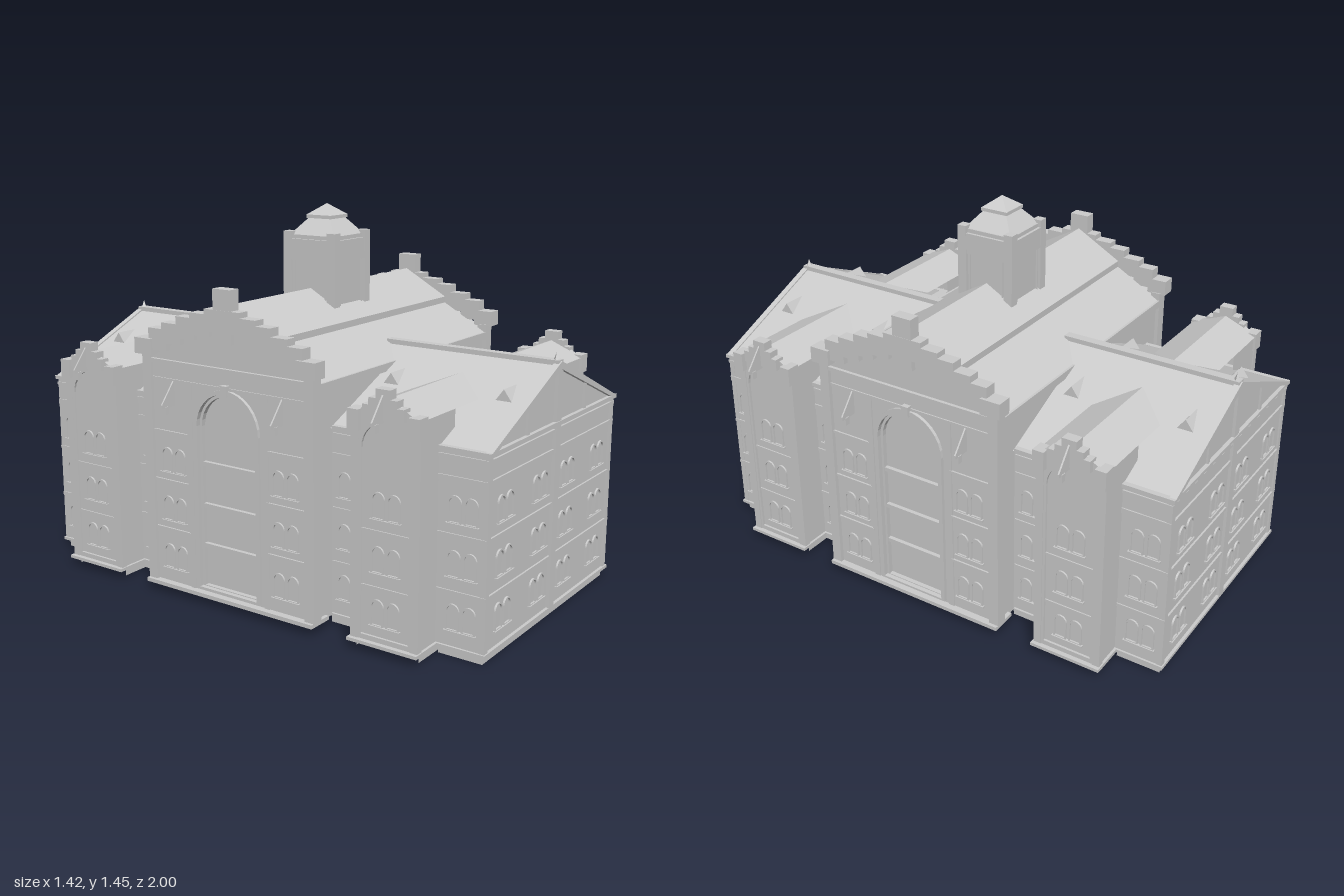
import * as THREE from 'three';

const mat = new THREE.MeshStandardMaterial({ color: 0xcccccc, flatShading: true, side: THREE.DoubleSide });

function add(parent, name, geo, x = 0, y = 0, z = 0) {
  const m = new THREE.Mesh(geo, mat);
  m.name = name;
  m.position.set(x, y, z);
  parent.add(m);
  return m;
}
// Box given by its limits
function box(parent, name, x0, x1, y0, y1, z0, z1) {
  return add(parent, name, new THREE.BoxGeometry(x1 - x0, y1 - y0, z1 - z0),
    (x0 + x1) / 2, (y0 + y1) / 2, (z0 + z1) / 2);
}
// Surface made of four-cornered faces
function quads(parent, name, list) {
  const pos = [];
  for (const [a, b, c, d] of list) pos.push(...a, ...b, ...c, ...a, ...c, ...d);
  const g = new THREE.BufferGeometry();
  g.setAttribute('position', new THREE.Float32BufferAttribute(pos, 3));
  g.computeVertexNormals();
  return add(parent, name, g);
}
// Upright wall following a plan line of [x, z] points
function wall(parent, name, pts, y0, y1) {
  quads(parent, name, pts.slice(1).map(([x, z], i) => {
    const [px, pz] = pts[i];
    return [[px, y0, pz], [x, y0, z], [x, y1, z], [px, y1, pz]];
  }));
}
function polygon(pts) {
  return new THREE.Shape(pts.map(p => new THREE.Vector2(...p)));
}
function extrude(parent, name, shape, depth, x, y, z) {
  return add(parent, name, new THREE.ExtrudeGeometry(shape, { depth, bevelEnabled: false, curveSegments: 8 }), x, y, z);
}
// Round-headed opening standing on y0, crown at y1
function arch(r, y0, y1, Type = THREE.Shape) {
  const s = new Type();
  s.moveTo(-r, y0);
  s.lineTo(r, y0);
  s.lineTo(r, y1 - r);
  s.absarc(0, y1 - r, r, 0, Math.PI, false);
  s.lineTo(-r, y0);
  return s;
}
function archFrame(parent, name, r, t, y0, y1, depth, x, y, z) {
  const s = arch(r, y0, y1);
  s.holes.push(arch(r - t, y0 + t * 0.5, y1 - t, THREE.Path));
  return extrude(parent, name, s, depth, x, y, z);
}
// Pair of small arched windows over one sill, on three floors
function windows(parent, x, z) {
  for (const y of [0.1, 0.29, 0.48]) {
    const g = new THREE.Group();
    g.name = 'windowPair';
    g.position.set(x, y, z);
    for (const s of [-1, 1]) archFrame(g, 'windowFrame', 0.026, 0.006, 0, 0.095, 0.007, s * 0.031, 0, 0);
    box(g, 'windowSill', -0.062, 0.062, -0.008, 0, 0, 0.012);
    parent.add(g);
  }
}
// Small gabled dormer on the long roof
function dormer(parent, s, z) {
  const a = [s * 0.24, 0.885, z], l = [s * 0.24, 0.835, z - 0.037], r = [s * 0.24, 0.835, z + 0.037], t = [s * 0.14, 0.885, z];
  quads(parent, 'dormer', [[l, r, a, a], [l, a, t, t], [r, t, a, a]]);
}

// One end of the long building, local z outward
function endWing() {
  const g = new THREE.Group();
  g.name = 'endWing';
  wall(g, 'endWalls', [[-0.5, 0.3], [-0.5, 0.985], [0.5, 0.985], [0.5, 0.3]], 0.03, 0.73);
  wall(g, 'plinth', [[-0.49, 0.81], [-0.49, 0.98], [0.49, 0.98], [0.49, 0.81]], 0, 0.03);
  add(g, 'gable', new THREE.ShapeGeometry(polygon([[-0.5, 0.73], [0.5, 0.73], [0, 0.94]])), 0, 0, 0.985);
  box(g, 'pilaster', -0.02, 0.02, 0.03, 0.94, 0.98, 0.997);
  for (const [y, h, e] of [[0.03, 0.012, 0.012], [0.23, 0.012, 0.007], [0.43, 0.012, 0.007], [0.62, 0.02, 0.007], [0.7, 0.012, 0.008], [0.724, 0.014, 0.015]]) {
    box(g, 'bandCourse', -0.5 - e * 0.7, 0.5 + e * 0.7, y, y + h, 0.97, 0.985 + e);
    for (const s of [-1, 1]) box(g, 'sideBand', s * 0.5 - e * 0.7, s * 0.5 + e * 0.7, y, y + h, 0.38, 0.99);
  }
  for (const s of [-1, 1]) {
    box(g, 'cornerPilaster', s * 0.49 - 0.012, s * 0.49 + 0.012, 0.03, 0.73, 0.97, 0.992);
    box(g, 'gablePost', s * 0.23 - 0.008, s * 0.23 + 0.008, 0.73, 0.84, 0.98, 0.993);
    const ridge = z => [0, 0.947, z], mid = z => [s * 0.245, 0.842, z], eave = z => [s * 0.51, 0.728, z];
    quads(g, 'longRoof', [[ridge(0.28), ridge(1), mid(1), mid(0.28)], [mid(0.28), mid(1), eave(1), eave(0.28)]]);
    extrude(g, 'gableCoping', polygon([[0, 0.953], [s * 0.51, 0.733], [s * 0.47, 0.733], [0, 0.925]]), 0.025, 0, 0, 0.975);
    for (const z of [0.45, 0.9]) dormer(g, s, z);
    for (const x of [0.11, 0.37]) windows(g, s * x, 0.985);
  }
  box(g, 'ridgeCap', -0.018, 0.018, 0.93, 0.957, 0.29, 0.995);
  add(g, 'finial', new THREE.ConeGeometry(0.022, 0.055, 4), 0, 0.957, 0.978);
  return g;
}

// Stepped-gable pavilion, local z outward, centred on x = 0
function pavilion() {
  const g = new THREE.Group();
  g.name = 'pavilion';
  wall(g, 'pavilionWalls', [[-0.13, 0.4], [-0.13, 0.615], [0.13, 0.615], [0.13, 0.4]], 0.03, 0.84);
  for (const s of [-1, 1]) {
    quads(g, 'pavilionRoof', [[[0, 0.895, 0.12], [0, 0.895, 0.62], [s * 0.135, 0.84, 0.62], [s * 0.135, 0.84, 0.24]]]);
    wall(g, 'plinth', [[s * 0.125, 0.3], [s * 0.125, 0.6]], 0, 0.03);
    box(g, 'pavilionPier', s * 0.12 - 0.015, s * 0.12 + 0.015, 0.03, 0.84, 0.6, 0.627);
    box(g, 'parapetShoulder', s * 0.118 - 0.022, s * 0.118 + 0.022, 0.78, 0.852, 0.59, 0.645);
  }
  // front skin with a tall round-headed recess
  const skin = polygon([[-0.12, 0.03], [0.12, 0.03], [0.12, 0.84], [0.05, 0.88], [-0.05, 0.88], [-0.12, 0.84]]);
  skin.holes.push(arch(0.095, 0.06, 0.815, THREE.Path));
  extrude(g, 'pavilionFront', skin, 0.01, 0, 0, 0.614);
  for (const [w, y0, y1] of [[0.08, 0.83, 0.875], [0.055, 0.85, 0.9], [0.028, 0.87, 0.932]])
    box(g, 'parapetStep', -w, w, y0, y1, 0.605, 0.645);
  box(g, 'baseMoulding', -0.14, 0.14, 0.03, 0.042, 0.5, 0.642);
  for (const y of [0.23, 0.43]) box(g, 'bandCourse', -0.095, 0.095, y, y + 0.01, 0.61, 0.62);
  windows(g, 0, 0.615);
  bracket(g, 0, 0.82, 0.64, 0.07);
  return g;
}
// Thin projecting triangular bracket with a drop
function bracket(parent, x, y, z, len) {
  const m = extrude(parent, 'bracket', polygon([[0, 0], [-len, 0], [-len, 0.014], [-0.02, 0.075], [0, 0.1]]), 0.006, x - 0.003, y, z);
  m.rotation.y = Math.PI / 2;
  box(parent, 'bracketDrop', x - 0.006, x + 0.006, y - 0.025, y + 0.005, z + len * 0.5, z + len * 0.8);
}

// One flank: central block half and two pavilions, local z outward
function flank() {
  const g = new THREE.Group();
  g.name = 'flank';
  wall(g, 'centralSideRight', [[0.375, 0], [0.375, 0.6]], 0.03, 0.9);
  wall(g, 'centralSideLeft', [[-0.375, 0], [-0.375, 0.6]], 0.03, 0.9);
  const front = polygon([[-0.38, 0.03], [0.38, 0.03], [0.38, 0.9], [0.19, 1.0], [0, 1.12], [-0.19, 1.0], [-0.38, 0.9]]);
  front.holes.push(arch(0.135, 0.06, 0.815, THREE.Path));
  extrude(g, 'centralFront', front, 0.025, 0, 0, 0.592);
  // great arched window
  add(g, 'archGlass', new THREE.ShapeGeometry(arch(0.136, 0.06, 0.816)), 0, 0, 0.594);
  archFrame(g, 'archMoulding', 0.15, 0.016, 0.055, 0.832, 0.02, 0, 0, 0.61);
  archFrame(g, 'archInnerMoulding', 0.136, 0.012, 0.06, 0.816, 0.018, 0, 0, 0.594);
  for (const y of [0.215, 0.37, 0.53]) box(g, 'archTransom', -0.13, 0.13, y, y + 0.016, 0.59, 0.61);
  box(g, 'keystone', -0.015, 0.015, 0.81, 0.85, 0.61, 0.638);
  box(g, 'baseMoulding', -0.39, 0.39, 0.03, 0.045, 0.54, 0.645);
  box(g, 'cornice', -0.36, 0.36, 0.895, 0.91, 0.6, 0.63);
  box(g, 'lowerCornice', -0.36, 0.36, 0.83, 0.84, 0.6, 0.622);
  for (const s of [-1, 1]) {
    // two roof planes with a small drop between them
    const p = [[0, 1.135], [0.19, 1.03], [0.19, 1.005], [0.39, 0.895]];
    quads(g, 'centralRoof', p.slice(1).map(([u, y], i) =>
      [[s * p[i][0], p[i][1], 0], [s * p[i][0], p[i][1], 0.6], [s * u, y, 0.6], [s * u, y, 0]]));
    box(g, 'eaveMoulding', s * 0.382 - 0.008, s * 0.382 + 0.008, 0.87, 0.9, 0, 0.6);
    box(g, 'centralPier', s * 0.37 - 0.02, s * 0.37 + 0.02, 0.03, 0.93, 0.585, 0.632);
    box(g, 'archPier', s * 0.175 - 0.012, s * 0.175 + 0.012, 0.045, 0.83, 0.6, 0.622);
    for (const y of [0.25, 0.44, 0.63]) box(g, 'bandCourse', s * 0.265 - 0.085, s * 0.265 + 0.085, y, y + 0.01, 0.61, 0.624);
    windows(g, s * 0.26, 0.617);
    bracket(g, s * 0.25, 0.74, 0.617, 0.07);
    // narrow bays of the long walls and the pavilion
    windows(g, s * 0.9, 0.5);
    windows(g, s * 0.46, 0.5);
    wall(g, 'bayPlinth', [[s * 0.37, 0.49], [s * 0.55, 0.49]], 0, 0.03);
    const pv = pavilion();
    pv.position.x = s * 0.675;
    g.add(pv);
  }
  // crow-stepped parapet
  const steps = [[0.41, 0.925, 0.985], [0.35, 0.945, 1.025], [0.285, 0.975, 1.05], [0.215, 1.0, 1.08], [0.15, 1.02, 1.1], [0.08, 1.04, 1.12]];
  steps.forEach(([w, y0, y1], i) => {
    const next = i < 5 ? steps[i + 1][0] - 0.02 : 0;
    for (const s of [-1, 1]) box(g, 'parapetStep', Math.min(s * w, s * next), Math.max(s * w, s * next), y0, y1, 0.59, i ? 0.638 : 0.65);
  });
  box(g, 'parapetPeak', -0.04, 0.04, 1.0, 1.195, 0.59, 0.637);
  return g;
}

// Square roof turret
function turret() {
  const g = new THREE.Group();
  g.name = 'turret';
  box(g, 'turretBody', -0.107, 0.107, 1.04, 1.335, -0.107, 0.107);
  const pyramid = (name, r0, r1, y0, y1) => {
    const m = add(g, name, new THREE.CylinderGeometry(r1 * Math.SQRT2, r0 * Math.SQRT2, y1 - y0, 4), 0, (y0 + y1) / 2, 0);
    m.rotation.y = Math.PI / 4;
  };
  pyramid('turretRoof', 0.1, 0.048, 1.335, 1.398);
  pyramid('turretCapEdge', 0.056, 0.056, 1.395, 1.408);
  pyramid('turretCap', 0.056, 0.0001, 1.408, 1.45);
  for (let i = 0; i < 4; i++) {
    const f = new THREE.Group();
    f.name = 'turretFace';
    f.rotation.y = i * Math.PI / 2;
    box(f, 'cornerPost', 0.083, 0.12, 1.06, 1.348, 0.083, 0.12);
    box(f, 'turretLintel', -0.1, 0.1, 1.24, 1.32, 0.1, 0.118);
    box(f, 'panelRib', -0.075, -0.07, 1.06, 1.24, 0.1, 0.114);
    box(f, 'panelRib', 0.07, 0.075, 1.06, 1.24, 0.1, 0.114);
    g.add(f);
  }
  return g;
}

export function createModel() {
  const model = new THREE.Group();
  model.name = 'hall';
  for (const k of [0, 2]) {
    const e = endWing(), f = flank();
    e.rotation.y = k * Math.PI / 2;
    f.rotation.y = (k + 1) * Math.PI / 2;
    model.add(e, f);
  }
  model.add(turret());
  return model;
}
